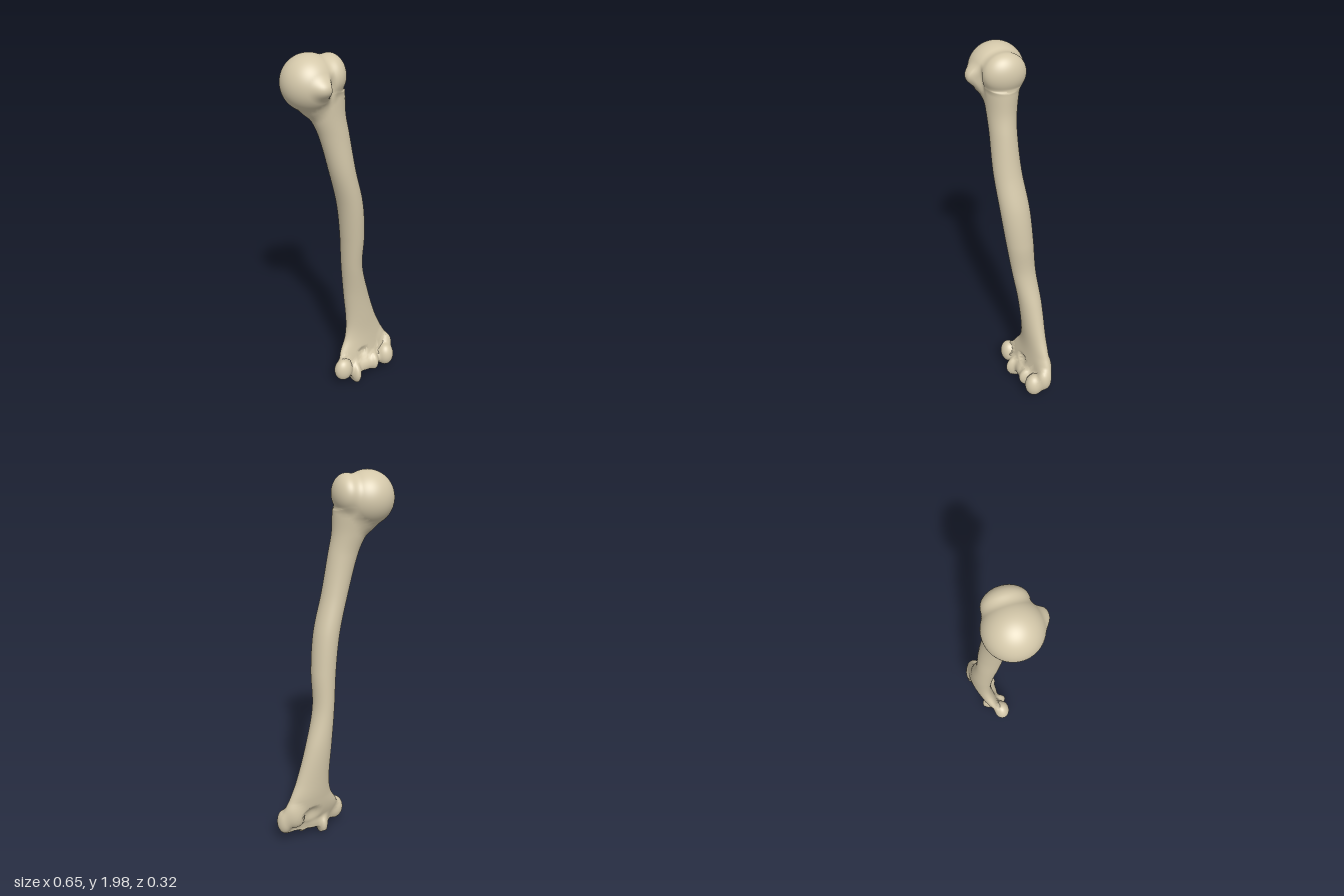
import * as THREE from 'three';

// Shaft stations: y, centre x, centre z, half width x, half depth z, sideways slope of z
const STATIONS = [
  [0.1, 0.13, -0.05, 0.15, 0.035, -0.25],
  [0.2, 0.132, -0.08, 0.165, 0.045, -0.25],
  [0.3, 0.135, -0.095, 0.122, 0.05, -0.2],
  [0.4, 0.12, -0.095, 0.095, 0.053, -0.15],
  [0.6, 0.082, -0.085, 0.073, 0.06, -0.1],
  [0.8, 0.048, -0.06, 0.058, 0.065, 0],
  [1.0, 0.04, -0.038, 0.065, 0.073, 0],
  [1.2, 0.017, -0.018, 0.068, 0.077, 0],
  [1.4, -0.033, 0.003, 0.068, 0.072, 0],
  [1.6, -0.078, 0.008, 0.077, 0.068, 0],
  [1.7, -0.108, 0.005, 0.09, 0.074, 0],
  [1.8, -0.13, 0, 0.11, 0.085, 0],
];

// Rounded masses of both ends: centre, radii
const MASSES = [
  [-0.195, 1.865, 0, 0.135, 0.135, 0.135], // head
  [-0.17, 1.775, 0, 0.08, 0.085, 0.08], // neck
  [-0.09, 1.89, -0.005, 0.073, 0.098, 0.105], // greater tubercle
  [-0.17, 1.865, 0.095, 0.06, 0.05, 0.065], // lesser tubercle
  [-0.027, 0.135, 0, 0.053, 0.068, 0.045], // medial epicondyle
  [0.055, 0.083, -0.03, 0.034, 0.075, 0.073], // inner pulley lip
  [0.125, 0.11, -0.045, 0.07, 0.052, 0.047], // pulley
  [0.18, 0.11, -0.045, 0.03, 0.06, 0.054], // outer pulley lip
  [0.262, 0.125, -0.05, 0.05, 0.07, 0.052], // capitulum
  [0.283, 0.165, -0.1, 0.04, 0.07, 0.042], // lateral epicondyle
  [0.225, 0.21, -0.12, 0.055, 0.08, 0.042], // back of the outer column
];

// Hollows cut into the surface
const HOLLOWS = [
  [-0.115, 1.83, 0.125, 0.017, 0.11, 0.035], // groove between the tubercles
  [0.115, 0.2, -0.018, 0.036, 0.028, 0.03], // front fossa
  [0.12, 0.185, -0.142, 0.06, 0.055, 0.038], // back fossa
];

function station(y) {
  const last = STATIONS.length - 1;
  let i = 0;
  while (i < last - 1 && y > STATIONS[i + 1][0]) i++;
  const t = THREE.MathUtils.clamp((y - STATIONS[i][0]) / (STATIONS[i + 1][0] - STATIONS[i][0]), 0, 1);
  // Cubic interpolation through neighbouring stations keeps the shaft smooth
  const tangent = (n, k) => {
    const a = STATIONS[Math.max(n - 1, 0)], b = STATIONS[Math.min(n + 1, last)];
    return (b[k] - a[k]) / (b[0] - a[0]);
  };
  const h = STATIONS[i + 1][0] - STATIONS[i][0];
  return [1, 2, 3, 4, 5].map((k) =>
    (2 * t ** 3 - 3 * t * t + 1) * STATIONS[i][k] + (3 * t * t - 2 * t ** 3) * STATIONS[i + 1][k] +
    h * ((t ** 3 - 2 * t * t + t) * tangent(i, k) + (t ** 3 - t * t) * tangent(i + 1, k)));
}

function ellipsoid(dx, dy, dz, rx, ry, rz) {
  const k0 = Math.hypot(dx / rx, dy / ry, dz / rz);
  const k1 = Math.hypot(dx / rx ** 2, dy / ry ** 2, dz / rz ** 2);
  return k1 < 1e-6 ? -Math.min(rx, ry, rz) : (k0 * (k0 - 1)) / k1;
}

function smoothMin(a, b, k) {
  const h = Math.max(k - Math.abs(a - b), 0) / k;
  return Math.min(a, b) - h * h * k * 0.25;
}

// Signed distance to the blended bone surface
function field(p) {
  const [cx, cz, rx, rz, slope] = station(p.y);
  const dx = p.x - cx, dz = p.z - cz - slope * dx;
  let d = Math.max(ellipsoid(dx, 0, dz, rx, 1, rz), p.y - 1.82, 0.09 - p.y);
  const distance = (m) => ellipsoid(p.x - m[0], p.y - m[1], p.z - m[2], m[3], m[4], m[5]);
  for (const m of MASSES) if (Math.abs(p.y - m[1]) < 0.35) d = smoothMin(d, distance(m), 0.022);
  for (const m of HOLLOWS) if (Math.abs(p.y - m[1]) < 0.35) d = -smoothMin(-d, distance(m), 0.018);
  return d;
}

// First point where a ray from inside leaves the bone
function cast(origin, dir, reach) {
  const p = new THREE.Vector3();
  const at = (r) => field(p.copy(origin).addScaledVector(dir, r));
  let low = 0.015, high = low;
  while (high < reach && at(high) < 0) {
    low = high;
    high += 0.006;
  }
  if (high < reach) {
    for (let i = 0; i < 12; i++) {
      const mid = (low + high) / 2;
      if (at(mid) < 0) low = mid;
      else high = mid;
    }
  }
  return origin.clone().addScaledVector(dir, Math.min(high, reach));
}

// Grid of rays wrapped onto the bone surface
function wrap(name, rows, cols, reach, ray, material) {
  const positions = [], normals = [], index = [], points = [], dirs = [];
  for (let i = 0; i <= rows; i++) {
    for (let j = 0; j < cols; j++) {
      const [origin, dir] = ray(i, (j / cols) * Math.PI * 2);
      dir.normalize();
      const p = cast(origin, dir, reach);
      const n = new THREE.Vector3();
      for (const axis of ['x', 'y', 'z']) {
        const a = p.clone(), b = p.clone();
        a[axis] += 0.002;
        b[axis] -= 0.002;
        n[axis] = field(a) - field(b);
      }
      n.normalize();
      points.push(p);
      dirs.push(dir);
      positions.push(p.x, p.y, p.z);
      normals.push(n.x, n.y, n.z);
    }
  }
  const u = new THREE.Vector3(), v = new THREE.Vector3();
  const face = (a, b, c) => {
    u.subVectors(points[b], points[a]);
    v.subVectors(points[c], points[a]);
    const way = dirs[a].clone().add(dirs[b]).add(dirs[c]);
    if (u.cross(v).dot(way) >= 0) index.push(a, b, c);
    else index.push(a, c, b);
  };
  for (let i = 0; i < rows; i++) {
    for (let j = 0; j < cols; j++) {
      const a = i * cols + j, b = i * cols + ((j + 1) % cols);
      face(a, b, a + cols);
      face(b, b + cols, a + cols);
    }
  }
  const geometry = new THREE.BufferGeometry();
  geometry.setAttribute('position', new THREE.Float32BufferAttribute(positions, 3));
  geometry.setAttribute('normal', new THREE.Float32BufferAttribute(normals, 3));
  geometry.setIndex(index);
  const mesh = new THREE.Mesh(geometry, material);
  mesh.name = name;
  return mesh;
}

export function createModel() {
  const group = new THREE.Group();
  group.name = 'upperArmBone';
  const bone = new THREE.MeshStandardMaterial({ color: 0xd4c8aa });
  bone.name = 'bone';

  // Shaft: level rings around the leaning centre line
  group.add(wrap('shaft', 110, 56, 0.27, (i, angle) => {
    const y = 0.15 + (1.65 * i) / 110;
    const [cx, cz, rx, rz, slope] = station(y);
    const x = Math.cos(angle) * rx;
    return [new THREE.Vector3(cx, y, cz), new THREE.Vector3(x, 0, Math.sin(angle) * rz + slope * x)];
  }, bone));

  // Upper end: rays in all directions around the head and tubercles
  group.add(wrap('headAndTubercles', 64, 96, 0.22, (i, angle) => {
    const polar = (Math.PI * i) / 64, s = Math.sin(polar);
    return [new THREE.Vector3(-0.14, 1.87, 0),
      new THREE.Vector3(s * Math.cos(angle), Math.cos(polar), s * Math.sin(angle))];
  }, bone));

  // Lower end: rings along the elbow axis with rounded ends
  const inner = new THREE.Vector3(-0.03, 0.13, 0), outer = new THREE.Vector3(0.28, 0.135, -0.07);
  const axis = outer.clone().sub(inner).normalize();
  const up = new THREE.Vector3(0, 1, 0).addScaledVector(axis, -axis.y).normalize();
  const side = new THREE.Vector3().crossVectors(axis, up);
  const cap = 14, span = 56;
  group.add(wrap('elbowCondyles', span + 2 * cap, 64, 0.11, (i, angle) => {
    const t = THREE.MathUtils.clamp((i - cap) / span, 0, 1);
    const bend = i < cap ? i / cap - 1 : Math.max(0, (i - cap - span) / cap);
    const lean = (bend * Math.PI) / 2;
    const dir = up.clone().multiplyScalar(Math.cos(angle)).addScaledVector(side, Math.sin(angle))
      .multiplyScalar(Math.cos(lean)).addScaledVector(axis, Math.sin(lean));
    return [inner.clone().lerp(outer, t), dir];
  }, bone));

  return group;
}
